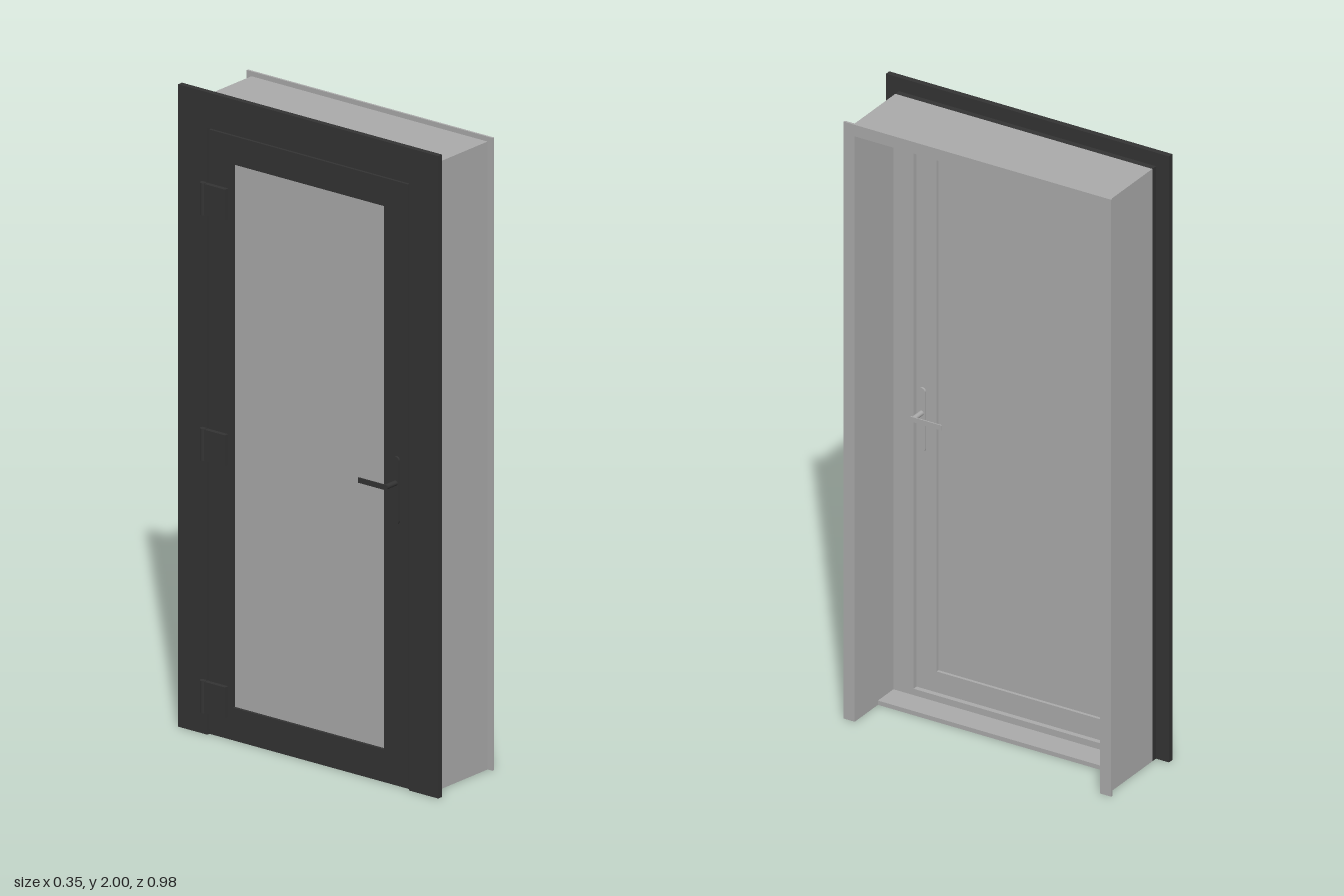
import * as THREE from 'three';

const grey = new THREE.MeshStandardMaterial({ color: 0xaaaaaa });
grey.name = 'light grey';
const dark = new THREE.MeshStandardMaterial({ color: 0x333333 });
dark.name = 'charcoal';

export function createModel() {
  const model = new THREE.Group();
  model.name = 'door';

  const add = (parent, name, geometry, material) => {
    const mesh = new THREE.Mesh(geometry, material);
    mesh.name = name;
    parent.add(mesh);
    return mesh;
  };

  // Box given by its limits on each axis
  const box = (parent, name, material, [x0, x1], [y0, y1], [z0, z1]) =>
    add(parent, name, new THREE.BoxGeometry(x1 - x0, y1 - y0, z1 - z0), material)
      .position.set((x0 + x1) / 2, (y0 + y1) / 2, (z0 + z1) / 2);

  // Stand a z-y outline up and give it depth along x
  const slab = (name, material, shape, x0, x1) => {
    const g = new THREE.ExtrudeGeometry(shape, { depth: x1 - x0, bevelEnabled: false });
    g.rotateY(Math.PI / 2).translate(x0, 0, 0);
    return add(model, name, g, material);
  };
  const outline = (pts) => pts.map(([a, b]) => new THREE.Vector2(a, b));

  // Frame open at the floor: half width and top, outside then inside
  const portal = (name, material, w, top, wi, topi, x0, x1) =>
    slab(name, material, new THREE.Shape(outline([
      [-w, 0], [-wi, 0], [-wi, topi], [wi, topi], [wi, 0], [w, 0], [w, top], [-w, top],
    ])), x0, x1);

  // Closed frame around the panel
  const ring = (name, material, w, y0, y1, x0, x1) => {
    const shape = new THREE.Shape(outline([[-w, y0], [w, y0], [w, y1], [-w, y1]]));
    shape.holes.push(new THREE.Path(outline([
      [-0.285, 0.105], [-0.285, 1.797], [0.285, 1.797], [0.285, 0.105],
    ])));
    return slab(name, material, shape, x0, x1);
  };

  // Fixed frame, wall lining and trims
  portal('outerFlange', dark, 0.49, 2, 0.38, 1.89, -0.12, -0.102);
  portal('outerFrame', dark, 0.445, 1.955, 0.38, 1.89, -0.102, -0.082);
  portal('innerFrame', grey, 0.425, 1.932, 0.355, 1.862, -0.082, -0.04);
  portal('wallLining', grey, 0.445, 1.955, 0.425, 1.932, -0.082, 0.165);
  portal('innerTrim', grey, 0.463, 1.97, 0.425, 1.932, 0.165, 0.172);

  // Threshold and sill
  box(model, 'threshold', dark, [-0.11, -0.082], [0, 0.018], [-0.38, 0.38]);
  box(model, 'frameBottomRail', grey, [-0.082, -0.04], [0, 0.035], [-0.355, 0.355]);
  box(model, 'sill', grey, [-0.04, 0.045], [0, 0.014], [-0.425, 0.425]);

  // Door leaf: dark outside, grey inside, with a recessed panel
  ring('leafOutside', dark, 0.375, 0.02, 1.885, -0.118, -0.083);
  ring('leafInside', grey, 0.354, 0.036, 1.861, -0.083, -0.055);
  box(model, 'panel', grey, [-0.108, -0.065], [0.105, 1.797], [-0.285, 0.285]);

  // Hinges on the outside
  for (const y of [0.12, 0.905, 1.67]) {
    const hinge = new THREE.Group();
    hinge.name = 'hinge';
    box(hinge, 'hingePlate', dark, [-0.133, -0.117], [y - 0.048, y + 0.048], [-0.385, -0.303]);
    add(hinge, 'hingeKnuckle', new THREE.CylinderGeometry(0.01, 0.01, 0.1, 16), dark)
      .position.set(-0.127, y, -0.39);
    model.add(hinge);
  }

  // Handles: rounded back plate, stem and flat lever; s is the outward direction
  const handle = (name, material, face, s) => {
    const group = new THREE.Group();
    group.name = name;
    const span = (a, b) => [face + s * a, face + s * b].sort((p, q) => p - q);
    box(group, 'handlePlate', material, span(0, 0.007), [0.832, 1.018], [0.321, 0.345]);
    for (const y of [0.832, 1.018]) {
      const cap = add(group, 'handlePlateEnd', new THREE.CylinderGeometry(0.012, 0.012, 0.007, 20), material);
      cap.rotation.z = Math.PI / 2;
      cap.position.set(face + s * 0.0035, y, 0.333);
    }
    const stem = add(group, 'handleStem', new THREE.CylinderGeometry(0.008, 0.008, 0.055, 16), material);
    stem.rotation.z = Math.PI / 2;
    stem.position.set(face + s * 0.0285, 0.948, 0.333);
    box(group, 'handleLever', material, span(0.053, 0.057), [0.94, 0.956], [0.232, 0.341]);
    model.add(group);
  };
  handle('outsideHandle', dark, -0.118, -1);
  handle('insideHandle', grey, -0.055, 1);

  return model;
}
